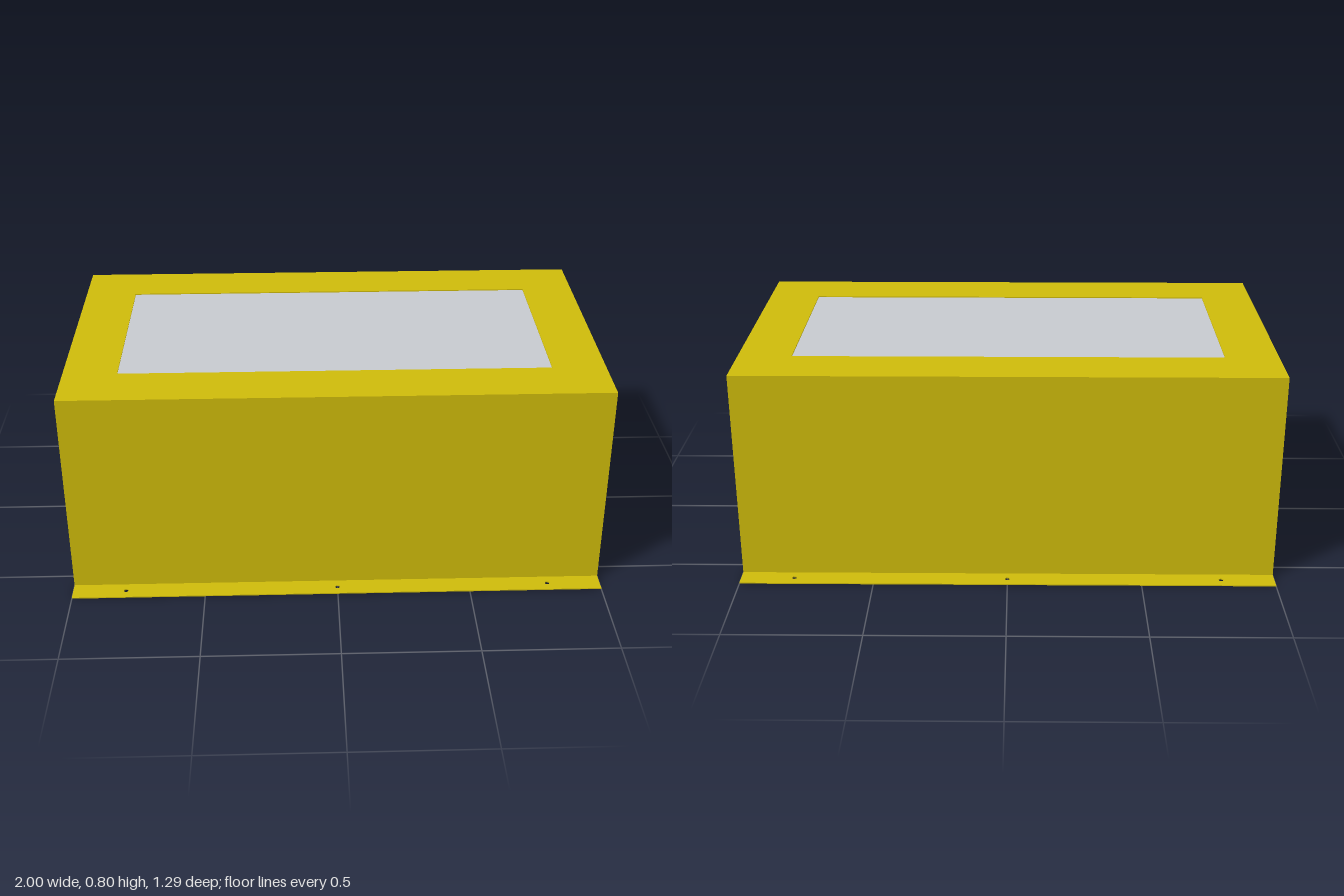
import * as THREE from 'three';

const T = 0.004; // sheet thickness
const WALL_Z = 0.565, EDGE_Z = 0.645, HEIGHT = 0.8;

const yellow = new THREE.MeshStandardMaterial({ name: 'yellow sheet', color: 0xcdba0a });
const grey = new THREE.MeshStandardMaterial({ name: 'grey window', color: 0xc6c9ce });

function rectangle(x0, x1, z0, z1) {
  return new THREE.Shape([
    new THREE.Vector2(x0, z0), new THREE.Vector2(x1, z0),
    new THREE.Vector2(x1, z1), new THREE.Vector2(x0, z1),
  ]);
}

// Horizontal sheet whose underside lies at height y
function sheet(name, shape, y) {
  const geo = new THREE.ExtrudeGeometry(shape, { depth: T, bevelEnabled: false, curveSegments: 8 });
  geo.rotateX(-Math.PI / 2);
  const mesh = new THREE.Mesh(geo, yellow);
  mesh.name = name;
  mesh.position.y = y;
  return mesh;
}

function box(name, w, h, d, y, z, material) {
  const mesh = new THREE.Mesh(new THREE.BoxGeometry(w, h, d), material);
  mesh.name = name;
  mesh.position.set(0, y, z);
  return mesh;
}

export function createModel() {
  const group = new THREE.Group();
  group.name = 'machineCover';

  // Top panel with a rectangular opening
  const top = rectangle(-1, 1, -WALL_Z, WALL_Z);
  top.holes.push(rectangle(-0.8, 0.8, -0.36, 0.36));
  group.add(sheet('topPanel', top, HEIGHT - T));

  // Window pane fixed below the opening
  group.add(box('windowPane', 1.72, 0.01, 0.84, HEIGHT - T - 0.005, 0, grey));

  for (const [side, s] of [['front', 1], ['back', -1]]) {
    // Side wall
    const h = HEIGHT - T;
    group.add(box(side + 'Wall', 2, h, T, h / 2, s * (WALL_Z - T / 2), yellow));

    // Outward mounting flange with three bolt holes
    const flange = rectangle(-1, 1, WALL_Z, EDGE_Z);
    for (const x of [-0.8, 0, 0.8]) {
      const hole = new THREE.Path();
      hole.absarc(x, 0.605, 0.009, 0, Math.PI * 2, true);
      flange.holes.push(hole);
    }
    const mesh = sheet(side + 'Flange', flange, 0);
    if (s > 0) mesh.rotation.y = Math.PI;
    group.add(mesh);
  }
  return group;
}
